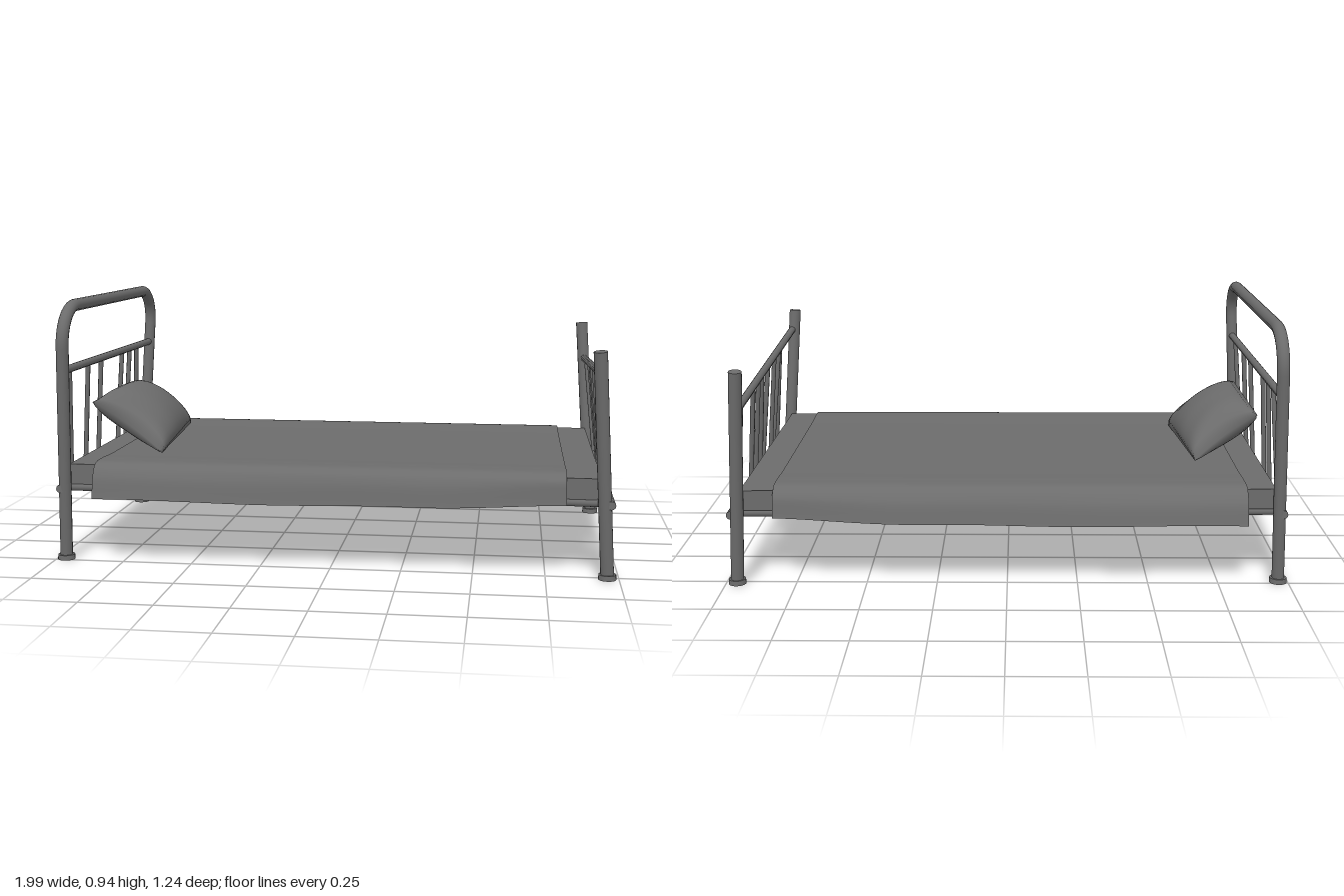
import * as THREE from 'three';
import { ParametricGeometry } from 'three/addons/geometries/ParametricGeometry.js';

const metal = new THREE.MeshStandardMaterial({ color: 0x6c6c6c });
const cloth = new THREE.MeshStandardMaterial({ color: 0x6c6c6c, side: THREE.DoubleSide });
const V = (x, y, z) => new THREE.Vector3(x, y, z);
const { lerp, smoothstep } = THREE.MathUtils;

function add(parent, name, geometry, material = metal) {
  const mesh = new THREE.Mesh(geometry, material);
  mesh.name = name;
  parent.add(mesh);
  return mesh;
}

// Straight round bar between two points
function bar(parent, name, a, b, r, sides = 12) {
  const mesh = add(parent, name, new THREE.CylinderGeometry(r, r, a.distanceTo(b), sides));
  mesh.position.copy(a).lerp(b, 0.5);
  mesh.quaternion.setFromUnitVectors(V(0, 1, 0), b.clone().sub(a).normalize());
}

function foot(parent, x, z) {
  add(parent, 'foot', new THREE.CylinderGeometry(0.03, 0.031, 0.018, 20)).position.set(x, 0.009, z);
}

// Uneven spindles, given as [z at top, z at bottom]
function spindles(parent, list, xTop, yTop, xLow) {
  for (const [zt, zb] of list) {
    bar(parent, 'spindle', V(xTop, yTop(zt), zt), V(xLow, 0.267, zb), 0.009, 8);
  }
}

function headboard() {
  const g = new THREE.Group();
  g.name = 'headboard';
  // Splayed posts joined by a rounded arch
  const path = new THREE.CurvePath();
  const arc = 0.075;
  const a = V(-0.965, 0.01, 0.485), b = V(-0.93, 0.78, 0.558), c = V(-0.926, 0.915, 0.425);
  const mirror = (p) => V(p.x, p.y, -p.z);
  const b2 = V(-0.927, b.y + arc, b.z + 0.006), c2 = V(-0.926, c.y, c.z + arc);
  path.add(new THREE.LineCurve3(a, b));
  path.add(new THREE.CubicBezierCurve3(b, b2, c2, c));
  path.add(new THREE.LineCurve3(c, mirror(c)));
  path.add(new THREE.CubicBezierCurve3(mirror(c), mirror(c2), mirror(b2), mirror(b)));
  path.add(new THREE.LineCurve3(mirror(b), mirror(a)));
  add(g, 'archedFrame', new THREE.TubeGeometry(path, 140, 0.022, 16));
  for (const s of [1, -1]) foot(g, -0.965, s * 0.485);
  bar(g, 'upperRail', V(-0.934, 0.693, 0.55), V(-0.934, 0.693, -0.55), 0.014);
  bar(g, 'lowerRail', V(-0.965, 0.267, 0.53), V(-0.965, 0.267, -0.53), 0.015);
  spindles(g, [[0.47, 0.405], [0.265, 0.25], [0.11, 0.1],
    [-0.16, -0.145], [-0.265, -0.25], [-0.36, -0.415]], -0.937, () => 0.693, -0.965);
  return g;
}

function footboard() {
  const g = new THREE.Group();
  g.name = 'footboard';
  for (const s of [1, -1]) {
    bar(g, 'post', V(0.96, 0.005, s * 0.515), V(0.91, 0.79, s * 0.598), 0.023, 20);
    foot(g, 0.96, s * 0.515);
  }
  // The upper rail hangs askew
  const railY = (z) => 0.676 + z * 0.058;
  bar(g, 'upperRail', V(0.922, railY(0.57), 0.57), V(0.922, railY(-0.56), -0.56), 0.014);
  bar(g, 'lowerRail', V(0.964, 0.267, 0.562), V(0.964, 0.267, -0.555), 0.015);
  spindles(g, [[0.275, 0.245], [0.3, 0.335], [0.175, 0.195], [0.04, 0.035], [-0.08, -0.015],
    [-0.15, -0.105], [-0.25, -0.19], [-0.47, -0.41]], 0.925, railY, 0.964);
  return g;
}

// Side rails and cross slats under the mattress
function base() {
  const g = new THREE.Group();
  g.name = 'bedBase';
  for (const s of [1, -1]) {
    bar(g, 'sideRail', V(-0.955, 0.267, s * 0.485), V(0.945, 0.267, s * 0.52), 0.014);
  }
  for (let i = 0; i < 13; i++) {
    const x = lerp(-0.83, 0.83, i / 12), w = lerp(0.485, 0.52, i / 12);
    bar(g, 'slat', V(x, 0.269, w), V(x, 0.269, -w), 0.012, 8);
  }
  return g;
}

// Thin mattress, slightly wider towards the foot
function mattress(parent) {
  const geo = new THREE.BoxGeometry(1.87, 0.073, 1);
  const p = geo.attributes.position;
  for (let i = 0; i < p.count; i++) p.setZ(i, p.getZ(i) * (p.getX(i) > 0 ? 1.07 : 1));
  geo.computeVertexNormals();
  add(parent, 'mattress', geo).position.set(-0.004, 0.316, -0.003);
}

// Blanket laid over the mattress and draped down both sides
function blanket(parent) {
  const half = [[0, 0.363], [0.2, 0.363], [0.36, 0.364], [0.45, 0.368], [0.525, 0.361], [0.56, 0.322], [0.582, 0.243]];
  const points = [...half.slice(1).reverse().map(([z, y]) => V(0, y, -z)), ...half.map(([z, y]) => V(0, y, z))];
  const profile = new THREE.CatmullRomCurve3(points);
  const geo = new ParametricGeometry((u, v, t) => {
    profile.getPoint(v, t);
    const x = lerp(-0.835, 0.815, u);
    const drape = smoothstep(Math.abs(t.z), 0.54, 0.582);
    const tail = smoothstep(x, 0.3, 0.815);
    t.y += drape * (0.022 * tail + 0.003 * Math.sin(x * 7));
    t.z -= Math.sign(t.z) * drape * (0.018 * tail + 0.003 * Math.sin(x * 5 + 1)) + drape * 0.004;
    t.x = x;
  }, 40, 60);
  add(parent, 'blanket', geo, cloth);
}

// Plump pillow with pointed corners, leaning on the headboard
function pillow(parent) {
  const corner = [[V(-0.91, 0.55, -0.24), V(-0.91, 0.55, 0.31)], [V(-0.685, 0.385, -0.268), V(-0.65, 0.366, 0.312)]];
  const out = V(0.58, 0.81, 0);
  for (const [name, depth, lean] of [['pillowTop', 0.1, 0], ['pillowUnderside', -0.066, 0.3]]) {
    const geo = new ParametricGeometry((u, v, t) => {
      const a = 2 * u - 1, b = 2 * v - 1;
      // Pull the short edges in between the corners
      const pu = 0.5 + 0.5 * a * (1 - 0.13 * (1 - b * b));
      t.copy(corner[0][0]).lerp(corner[0][1], pu);
      t.lerp(corner[1][0].clone().lerp(corner[1][1], pu), v);
      const puff = Math.pow(Math.max(0, (1 - a * a) * (1 - b * b)), 0.42);
      const crease = 1 + 0.1 * Math.sin(a * 7 + b * 2) * a * a;
      t.addScaledVector(out, depth * puff * crease * (1 - lean * b));
      t.x = Math.max(t.x, -0.925);
    }, 28, 28);
    add(parent, name, geo, cloth);
  }
}

export function createModel() {
  const bed = new THREE.Group();
  bed.name = 'bed';
  bed.add(headboard(), footboard(), base());
  mattress(bed);
  blanket(bed);
  const cushion = new THREE.Group();
  cushion.name = 'pillow';
  pillow(cushion);
  bed.add(cushion);
  return bed;
}
